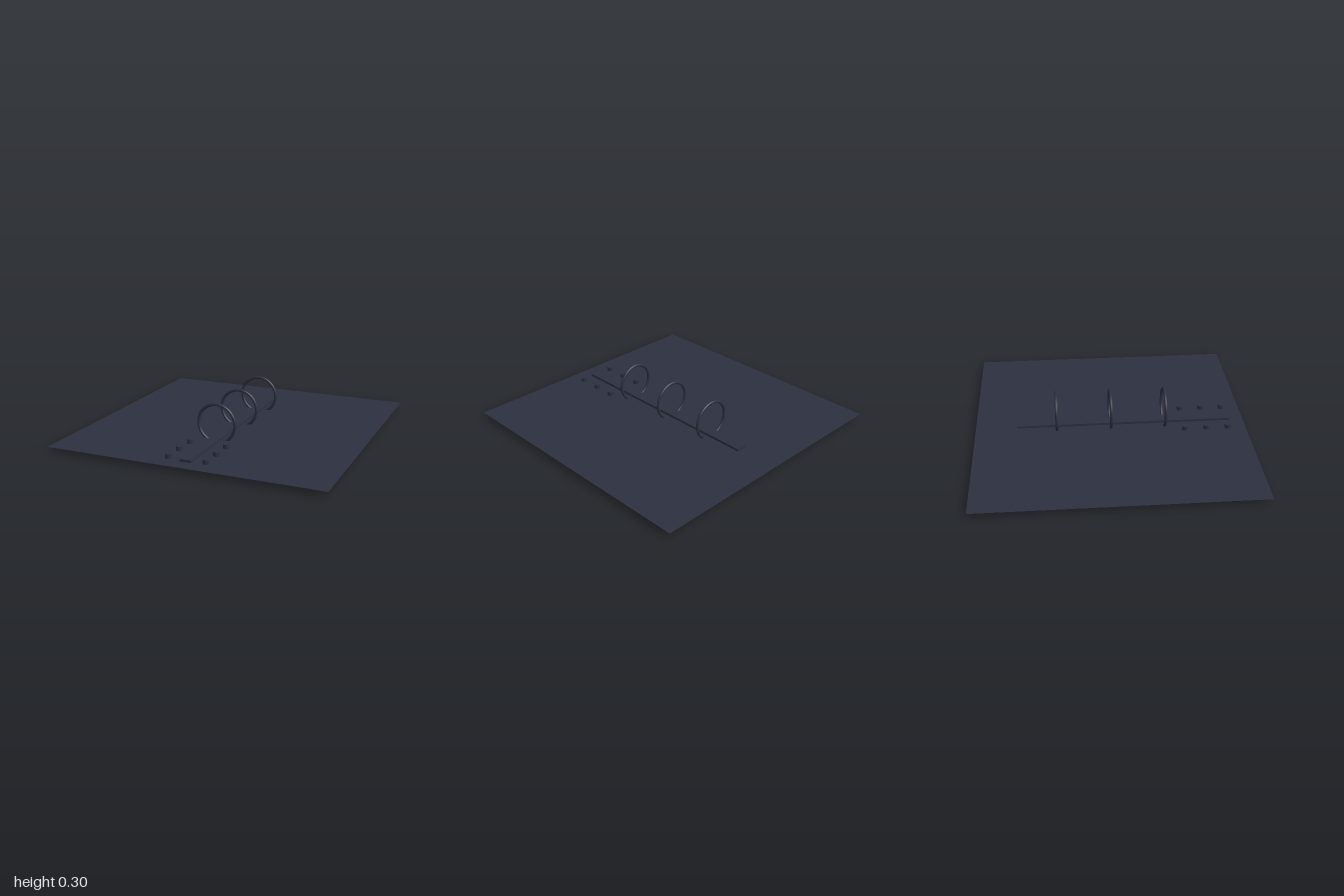
import * as THREE from 'three';

export function createModel() {
  const model = new THREE.Group();
  const groundY = 0.035;
  const dark = new THREE.MeshStandardMaterial({ color: 0x2d3040 });
  const sheet = new THREE.MeshStandardMaterial({ color: 0x2d3040, side: THREE.DoubleSide });

  const add = (name, geometry, x, y, z, material = dark) => {
    const mesh = new THREE.Mesh(geometry, material);
    mesh.name = name;
    mesh.position.set(x, y, z);
    model.add(mesh);
    return mesh;
  };

  // Thin square ground sheet
  add('ground', new THREE.PlaneGeometry(2, 2).rotateX(-Math.PI / 2), 0, groundY, 0, sheet);

  // Long flat runway strip, reaching nearer the front edge
  add('runway', new THREE.BoxGeometry(0.08, 0.018, 1.59), 0, groundY + 0.009, 0.1);

  // Three upright hoops, dipping through the ground
  const hoop = new THREE.TorusGeometry(0.139, 0.011, 10, 48);
  for (const z of [-0.4, 0, 0.4]) add('hoop', hoop, 0, 0.15, z);

  // Three pairs of short round studs beside the front of the strip
  const stud = new THREE.CylinderGeometry(0.023, 0.023, 0.031, 12);
  for (const z of [0.545, 0.705, 0.865]) {
    for (const side of [-1, 1]) add('stud', stud, side * 0.137, groundY + 0.0155, z);
  }

  return model;
}
